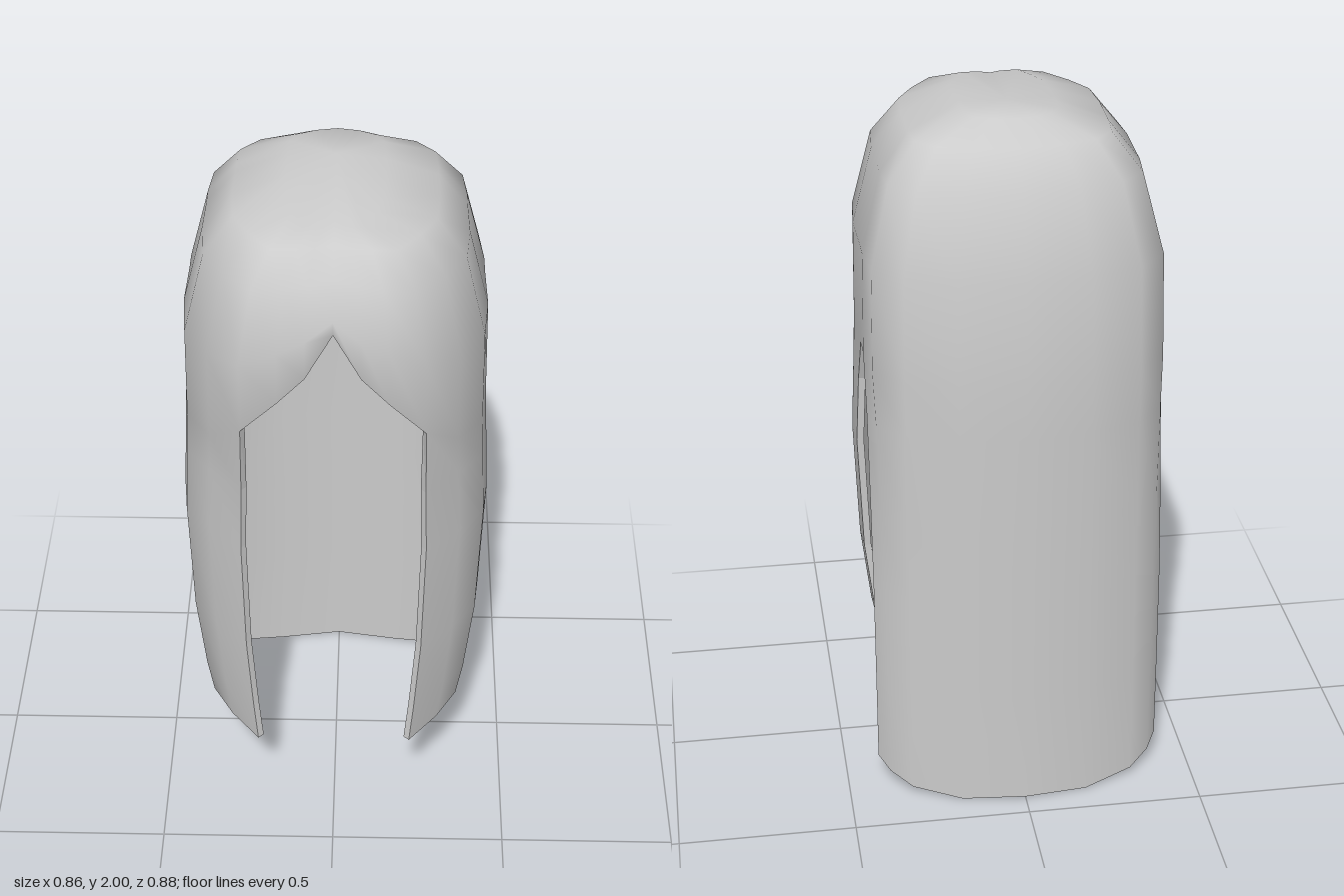
import * as THREE from 'three';

// Half outline seen from above, back centre -> side -> front centre (unit x, unit z)
const OUTLINE = [
  [0, -1], [0.44, -0.945], [0.78, -0.84], [0.97, -0.64], [1, -0.35],          // back panel columns
  [1, -0.19], [1.01, 0.18], [0.98, 0.52], [0.82, 0.76], [0.6, 1],             // side lock columns
  [0.36, 1], [0.18, 0.98], [0, 0.93],                                         // brow columns
];
const HALF = 12, RING = 24, THICKNESS = 0.02;

// Cap rings: y, half width, back depth, front depth, share of the brow lift
const CAP = [
  [1.995, 0.13, 0.195, 0.27, 0],
  [1.94, 0.27, 0.27, 0.33, 0],
  [1.84, 0.35, 0.345, 0.385, 0.08],
  [1.62, 0.405, 0.415, 0.435, 0.4],
  [1.33, 0.41, 0.43, 0.39, 1],
];
const LIFT = { 9: 0.09, 10: 0.19, 11: 0.27, 12: 0.405 };

// Back panel rows: y, z of the side edge, blend towards the squarer lower outline
const BACK = [[1.17, -0.21, 0.3], [0.9, -0.245, 0.6], [0.65, -0.268, 0.9], [0.35, -0.27, 1], [0, -0.268, 1]];
const BACK_HEM = [0.01, 0.005, 0.03, 0.06, 0.085];

// Side lock rows: y, half width, front depth, z of the rear edge
const LOCK = [[1.2, 0.416, 0.37, -0.04], [1.0, 0.425, 0.37, -0.03], [0.65, 0.412, 0.375, -0.02],
  [0.42, 0.385, 0.38, -0.025], [0, 0.366, 0.385, -0.028]];
const LOCK_HEM = [0.365, 0.345, 0.318, 0.305, 0.295];

function capPoint(c, r) {
  const [y, w, back, front, share] = CAP[r];
  const [ux, uz] = OUTLINE[c];
  const lift = (LIFT[c] || 0) * share;
  const z = uz < 0 ? uz * back : uz * front + lift * 0.12;
  const dip = r === 0 ? Math.max(0, z) * 0.09 : 0;
  return [ux * w, y + lift - dip, z];
}

function backPoint(c, k) {
  const [y, edge, t] = BACK[k];
  const [ux, uz] = OUTLINE[c];
  const last = k === BACK.length - 1;
  let x = ux * 0.41, z = uz * 0.432;
  if (c === 3) { x -= 0.018 * t; z -= 0.04 * t; }
  if (c === 4) z = edge;
  return [x, last ? BACK_HEM[c] : y, z];
}

function lockPoint(c, k) {
  const [y, w, front, edge] = LOCK[k];
  const [ux, uz] = OUTLINE[c];
  const last = k === LOCK.length - 1;
  return [ux * w, last ? LOCK_HEM[c - 5] : y, c === 5 ? edge : uz * front];
}

export function createModel() {
  const group = new THREE.Group();
  const material = new THREE.MeshStandardMaterial({ color: 0xcccccc, side: THREE.DoubleSide });
  const positions = [0, 2, -0.05];
  const ids = new Map();

  // Vertex at ring column i and row r, created once and shared
  const vertex = (i, r) => {
    i = (i + RING) % RING;
    const key = i * 100 + r;
    if (!ids.has(key)) {
      const c = i <= HALF ? i : RING - i;
      const p = r < CAP.length ? capPoint(c, r)
        : c <= 4 ? backPoint(c, r - CAP.length) : lockPoint(c, r - CAP.length);
      ids.set(key, positions.length / 3);
      positions.push(i <= HALF ? p[0] : -p[0], p[1], p[2]);
    }
    return ids.get(key);
  };
  const sheet = (from, to, top, bottom) => {
    const faces = [];
    for (let i = from; i < to; i++) {
      for (let r = top; r < bottom; r++) {
        const a = vertex(i + 1, r), b = vertex(i + 1, r + 1), c = vertex(i, r + 1), d = vertex(i, r);
        faces.push(a, b, c, a, c, d);
      }
    }
    return faces;
  };

  // Parts as faces over the shared vertices
  const last = CAP.length - 1, hem = last + BACK.length;
  const cap = sheet(0, RING, 0, last);
  for (let i = 0; i < RING; i++) cap.push(0, vertex(i + 1, 0), vertex(i, 0));
  const parts = {
    hairCap: cap,
    backPanel: sheet(-4, 4, last, hem),
    leftLock: sheet(5, 9, last, hem),
    rightLock: sheet(-9, -5, last, hem),
  };

  // Smooth normals over the whole outer skin, then an inner skin set back from it
  const all = Object.values(parts).flat();
  const outer = new THREE.BufferGeometry();
  outer.setAttribute('position', new THREE.Float32BufferAttribute(positions, 3));
  outer.setIndex(all);
  outer.computeVertexNormals();
  const normals = Array.from(outer.attributes.normal.array);
  const inner = positions.map((v, i) => v - normals[i] * THICKNESS);
  const count = positions.length / 3;
  const skin = new THREE.Float32BufferAttribute(positions.concat(inner), 3);
  const skinNormals = new THREE.Float32BufferAttribute(normals.concat(normals.map((n) => -n)), 3);

  for (const [name, faces] of Object.entries(parts)) {
    const geometry = new THREE.BufferGeometry();
    geometry.setAttribute('position', skin);
    geometry.setAttribute('normal', skinNormals);
    const inside = faces.map((v) => v + count).reverse();
    geometry.setIndex(faces.concat(inside));
    const mesh = new THREE.Mesh(geometry, material);
    mesh.name = name;
    group.add(mesh);
  }

  // Thin rim joining both skins along every open edge
  const edges = new Set();
  const eachEdge = (visit) => {
    for (let f = 0; f < all.length; f += 3) {
      for (let k = 0; k < 3; k++) visit(all[f + k], all[f + (k + 1) % 3]);
    }
  };
  eachEdge((a, b) => edges.add(a + '_' + b));
  const rim = [];
  eachEdge((a, b) => {
    if (edges.has(b + '_' + a)) return;
    for (const v of [b, a, a + count, b, a + count, b + count]) {
      rim.push(skin.getX(v), skin.getY(v), skin.getZ(v));
    }
  });
  const rimGeometry = new THREE.BufferGeometry();
  rimGeometry.setAttribute('position', new THREE.Float32BufferAttribute(rim, 3));
  rimGeometry.computeVertexNormals();
  const rimMesh = new THREE.Mesh(rimGeometry, material);
  rimMesh.name = 'hairEdges';
  group.add(rimMesh);
  return group;
}
